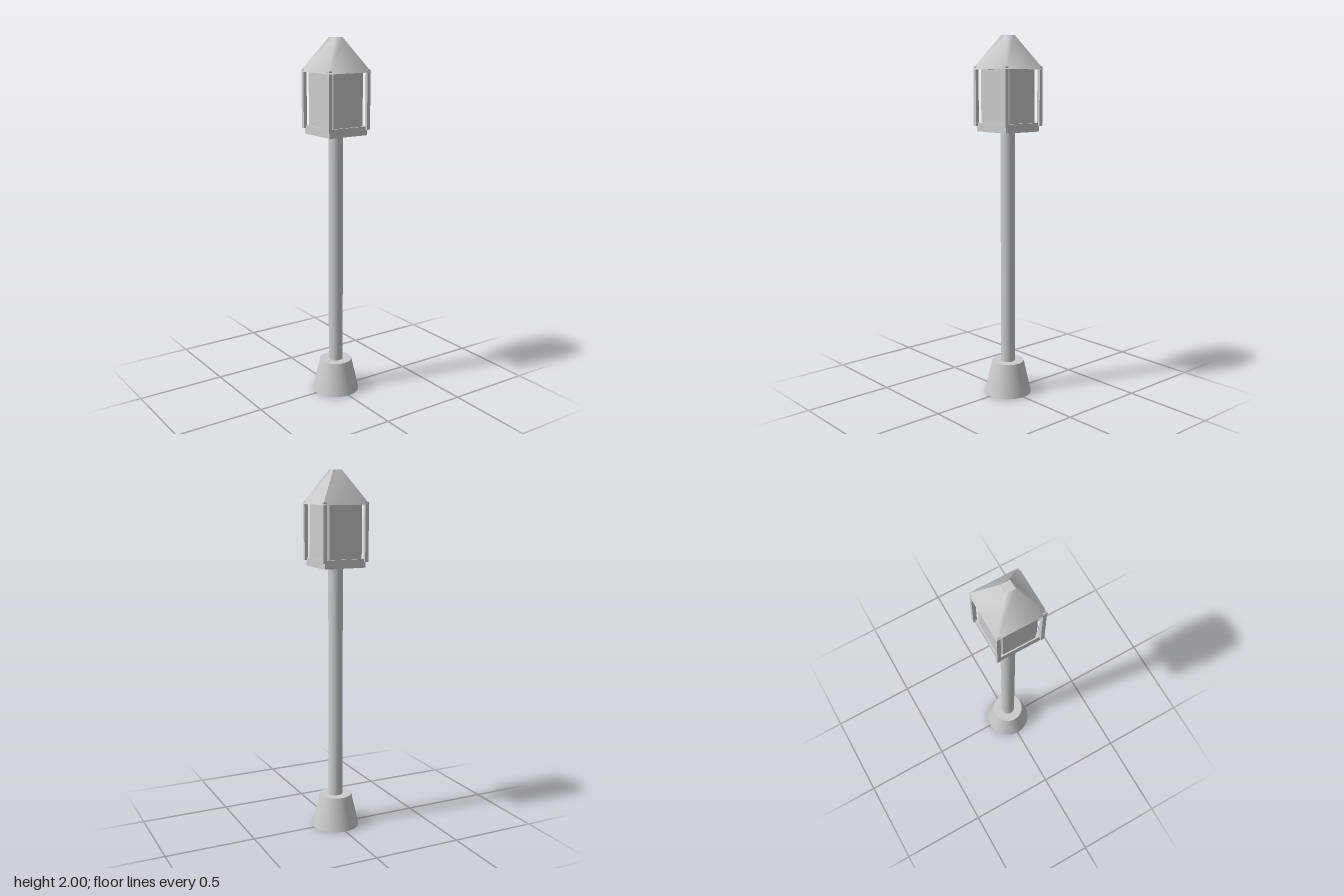
import * as THREE from 'three';

export function createModel() {
  const model = new THREE.Group();
  model.name = 'lampPost';
  const grey = new THREE.MeshStandardMaterial({ color: 0xcccccc });
  grey.name = 'light grey';

  const add = (name, geometry, x, y, z) => {
    const mesh = new THREE.Mesh(geometry, grey);
    mesh.name = name;
    mesh.position.set(x, y, z);
    model.add(mesh);
  };

  // Tapered round foot and pole
  add('foot', new THREE.CylinderGeometry(0.09, 0.132, 0.185, 48), 0, 0.0925, 0);
  add('pole', new THREE.CylinderGeometry(0.04, 0.04, 1.32, 32), 0, 0.84, 0);

  // Square tray under the lantern
  add('tray', new THREE.BoxGeometry(0.24, 0.047, 0.24), 0, 1.511, 0);

  // Lantern body: a box with chamfered upright corners
  const a = 0.113, b = 0.09;
  const outline = new THREE.Shape(
    [[a, -b], [a, b], [b, a], [-b, a], [-a, b], [-a, -b], [-b, -a], [b, -a]]
      .map(([x, y]) => new THREE.Vector2(x, y)));
  const body = new THREE.ExtrudeGeometry(outline, { depth: 0.286, bevelEnabled: false });
  body.rotateX(-Math.PI / 2);
  add('lanternBody', body, 0, 1.535, 0);

  // Slim corner posts, just poking through the roof
  for (const sx of [-1, 1]) {
    for (const sz of [-1, 1]) {
      add('cornerPost', new THREE.BoxGeometry(0.02, 0.316, 0.02), sx * 0.122, 1.676, sz * 0.122);
    }
  }

  // Truncated pyramid roof with softened hips and one sharp seam
  const roof = new THREE.CylinderGeometry(0.026 * Math.SQRT2, 0.136 * Math.SQRT2, 0.18, 4);
  roof.computeVertexNormals();
  roof.rotateY(Math.PI * 0.75);
  add('roof', roof, 0, 1.91, 0);

  return model;
}
